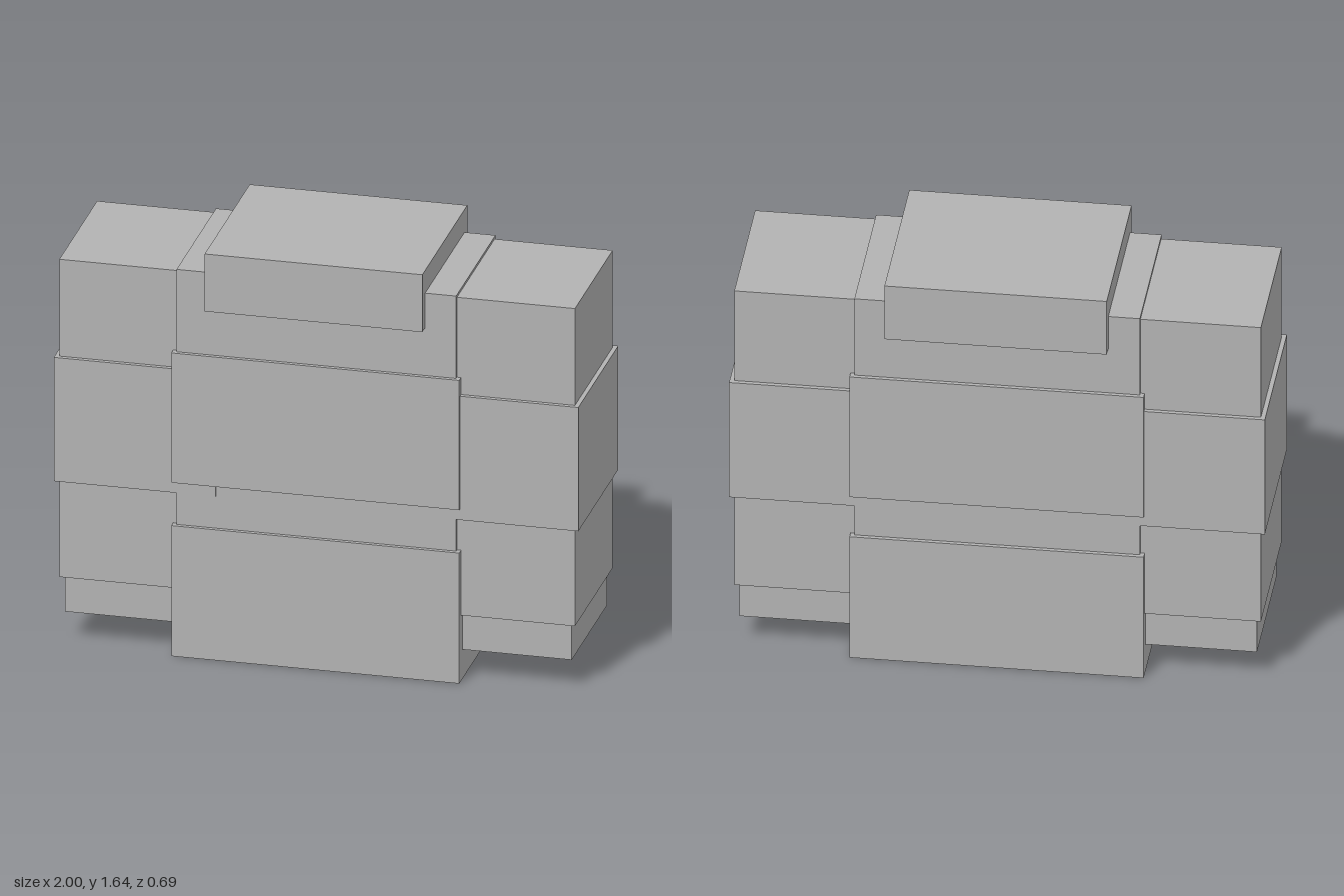
import * as THREE from 'three';

export function createModel() {
  const model = new THREE.Group();
  const grey = new THREE.MeshStandardMaterial({ color: 0xb2b2b2 });
  grey.name = 'plain grey';

  // Box given by its x and y ranges and half depth
  function block(name, x0, x1, y0, y1, halfDepth) {
    const mesh = new THREE.Mesh(new THREE.BoxGeometry(x1 - x0, y1 - y0, 2 * halfDepth), grey);
    mesh.position.set((x0 + x1) / 2, (y0 + y1) / 2, 0);
    mesh.name = name;
    model.add(mesh);
  }

  // Central body with its wider wraps and the cap on top
  block('torso', -0.533, 0.533, 0.01, 1.545, 0.302);
  block('lowerWrap', -0.549, 0.549, 0, 0.523, 0.318);
  block('chestWrap', -0.549, 0.549, 0.695, 1.215, 0.318);
  block('cap', -0.415, 0.415, 1.406, 1.636, 0.345);

  // Side columns, sunk into the body
  for (const side of [-1, 1]) {
    const label = side > 0 ? 'left' : 'right';
    const arm = (name, outer, inner, y0, y1, d) =>
      block(label + name, Math.min(side * inner, side * outer), Math.max(side * inner, side * outer), y0, y1, d);
    arm('Arm', 0.983, 0.4, 0.262, 1.535, 0.289);
    arm('ArmBand', 1, 0.383, 0.651, 1.147, 0.306);
    arm('Hand', 0.966, 0.417, 0.118, 0.3, 0.271);
  }
  return model;
}
